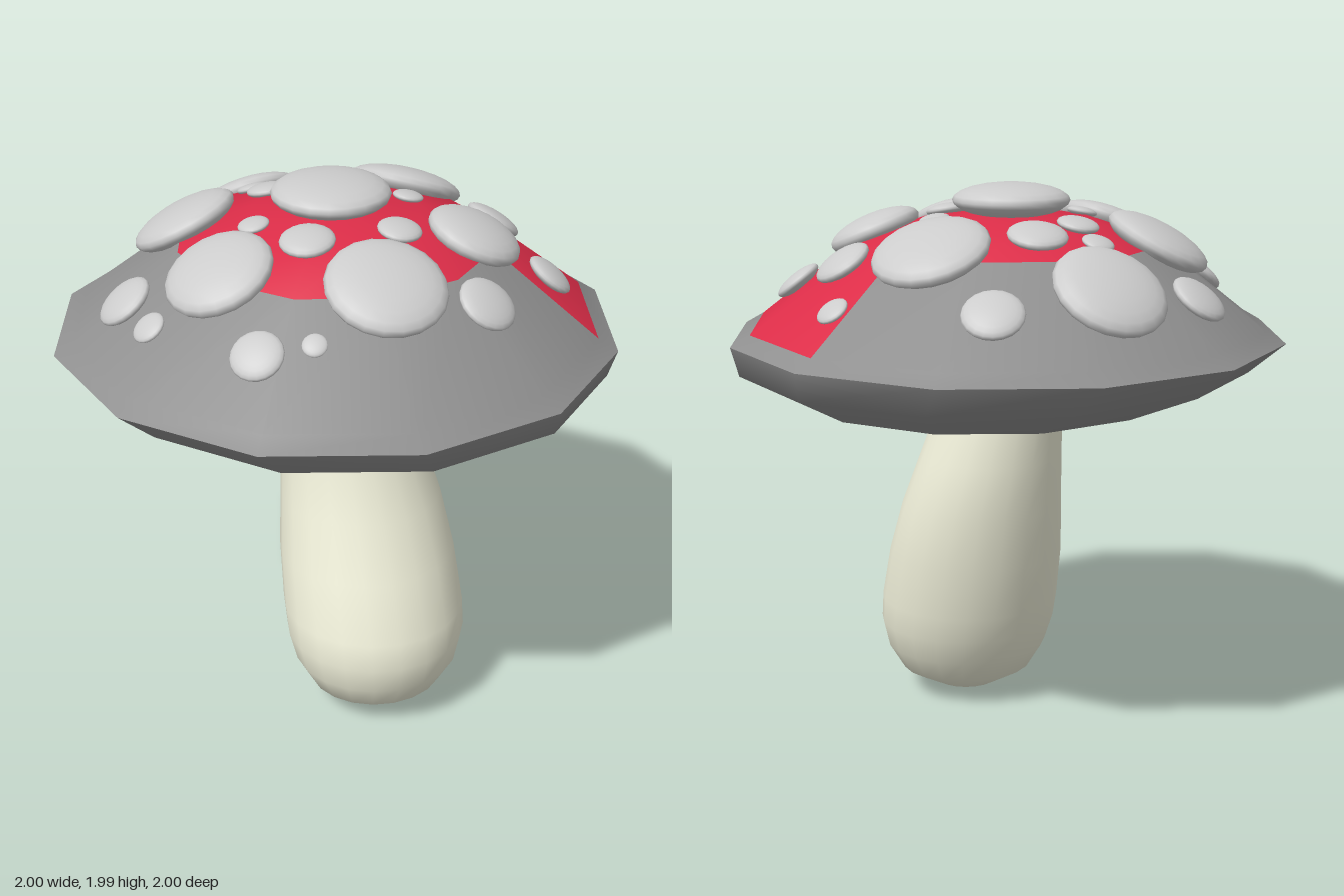
import * as THREE from 'three';

const cream = new THREE.MeshStandardMaterial({ color: 0xf0f0da });
const red = new THREE.MeshStandardMaterial({ color: 0xdc2d48 });
const darkGrey = new THREE.MeshStandardMaterial({ color: 0x8f8f8f });
const grey = new THREE.MeshStandardMaterial({ color: 0xcccccc });

// Joins rings [y, centreX, centreZ, radiusX, radiusZ]; keep(ring, side) picks which faces stay
function loft(rings, sides, keep = () => true) {
  const pos = [], all = [], kept = [];
  for (const [y, cx, cz, rx, rz] of rings) {
    for (let i = 0; i < sides; i++) {
      const t = (i / sides) * Math.PI * 2;
      pos.push(cx + rx * Math.cos(t), y, cz + rz * Math.sin(t));
    }
  }
  for (let j = 0; j < rings.length - 1; j++) {
    for (let i = 0; i < sides; i++) {
      const a = j * sides + i, b = j * sides + (i + 1) % sides;
      const c = a + sides, d = b + sides;
      const quad = [a, c, b, b, c, d];
      all.push(...quad);
      if (keep(j, i)) kept.push(...quad);
    }
  }
  const geo = new THREE.BufferGeometry();
  geo.setAttribute('position', new THREE.Float32BufferAttribute(pos, 3));
  geo.setIndex(all);
  geo.computeVertexNormals();
  geo.setIndex(kept);
  return geo;
}

function add(parent, name, geo, mat) {
  const mesh = new THREE.Mesh(geo, mat);
  mesh.name = name;
  parent.add(mesh);
  return mesh;
}

// Top of the cap as [radius, y], from the rim inwards
const CAP = [[1, 1.45], [0.93, 1.49], [0.555, 1.78], [0.3, 1.865], [0, 1.89]];

function capHeight(r) {
  r = Math.abs(r);
  for (let i = 0; i < CAP.length - 1; i++) {
    const [r0, y0] = CAP[i], [r1, y1] = CAP[i + 1];
    if (r >= r1) return y0 + (y1 - y0) * (r - r0) / (r1 - r0);
  }
  return 1.89;
}

export function createModel() {
  const model = new THREE.Group();
  model.name = 'mushroom';

  // Leaning stem: each level is [y, xMin, xMax, zMin, zMax]
  const levels = [
    [0, 0.09, 0.09, 0.27, 0.27], [0.025, -0.04, 0.2, 0.16, 0.39],
    [0.1, -0.165, 0.335, 0.03, 0.49], [0.2, -0.22, 0.395, -0.04, 0.545],
    [0.3, -0.245, 0.42, -0.085, 0.56], [0.4, -0.25, 0.42, -0.12, 0.545],
    [0.6, -0.245, 0.405, -0.17, 0.46], [0.8, -0.225, 0.37, -0.205, 0.37],
    [1, -0.21, 0.31, -0.225, 0.295], [1.24, -0.205, 0.23, -0.215, 0.22],
    [1.43, -0.2, 0.18, -0.2, 0.18],
  ];
  const stem = levels.map(([y, x0, x1, z0, z1]) =>
    [y, (x0 + x1) / 2, (z0 + z1) / 2, (x1 - x0) / 2, (z1 - z0) / 2]);
  add(model, 'stem', loft(stem, 20), cream);

  // Twelve-sided cap with a red crown and one red wedge on its left side
  const cap = new THREE.Group();
  cap.name = 'cap';
  model.add(cap);
  const top = CAP.map(([r, y]) => [y, 0, 0, r, r]);
  const isRed = (j, i) => j >= 2 || (j === 1 && (i === 0 || i === 11));
  add(cap, 'capTop', loft(top, 12, (j, i) => !isRed(j, i)), darkGrey);
  add(cap, 'capRedPatches', loft(top, 12, isRed), red);
  const bevel = [[1.24, 0.09, 0.015, 0.68, 0.7], [1.345, 0.05, 0.01, 0.92, 0.92], [1.45, 0, 0, 1, 1]];
  add(cap, 'capLowerEdge', loft(bevel, 12), darkGrey);
  const hollow = [[1.42, 0.03, 0, 0, 0], [1.39, 0.08, 0.01, 0.54, 0.55], bevel[0]];
  add(cap, 'capUnderside', loft(hollow, 12), darkGrey);

  // Flattened spots lying on the cap: [x, z, radius]
  const spots = [
    [-0.01, -0.02, 0.21], [-0.145, -0.66, 0.2], [0.37, -0.35, 0.205],
    [-0.475, -0.25, 0.195], [-0.465, 0.25, 0.19], [0.02, 0.515, 0.205],
    [0.43, 0.21, 0.17], [-0.5, -0.56, 0.105], [0.26, -0.695, 0.105],
    [-0.19, -0.42, 0.057], [0.01, -0.38, 0.105], [-0.17, -0.275, 0.075],
    [0.28, -0.055, 0.055], [0.61, -0.08, 0.105], [0.7, -0.33, 0.058],
    [0.71, 0.225, 0.09], [0.155, 0.235, 0.077], [-0.165, 0.24, 0.095],
    [-0.3, 0.05, 0.055], [-0.745, 0.035, 0.105], [-0.705, 0.255, 0.06],
    [-0.425, 0.59, 0.09], [-0.25, 0.635, 0.042], [0.355, 0.545, 0.105],
  ];
  const group = new THREE.Group();
  group.name = 'spots';
  model.add(group);
  const ball = new THREE.SphereGeometry(1, 20, 12);
  const up = new THREE.Vector3(0, 1, 0);
  for (const [x, z, r] of spots) {
    const d = Math.hypot(x, z);
    const slope = (capHeight(d - 0.12) - capHeight(d + 0.12)) / 0.24;
    const normal = d < 0.1 ? up.clone() : new THREE.Vector3(x / d * slope, 1, z / d * slope).normalize();
    const thick = r > 0.15 ? 0.062 : r * 0.32;
    const spot = add(group, 'spot', ball, grey);
    spot.scale.set(r, thick, r);
    spot.quaternion.setFromUnitVectors(up, normal);
    spot.position.set(x, capHeight(d), z).addScaledVector(normal, d < 0.1 ? 0.042 : 0.008);
  }
  return model;
}
